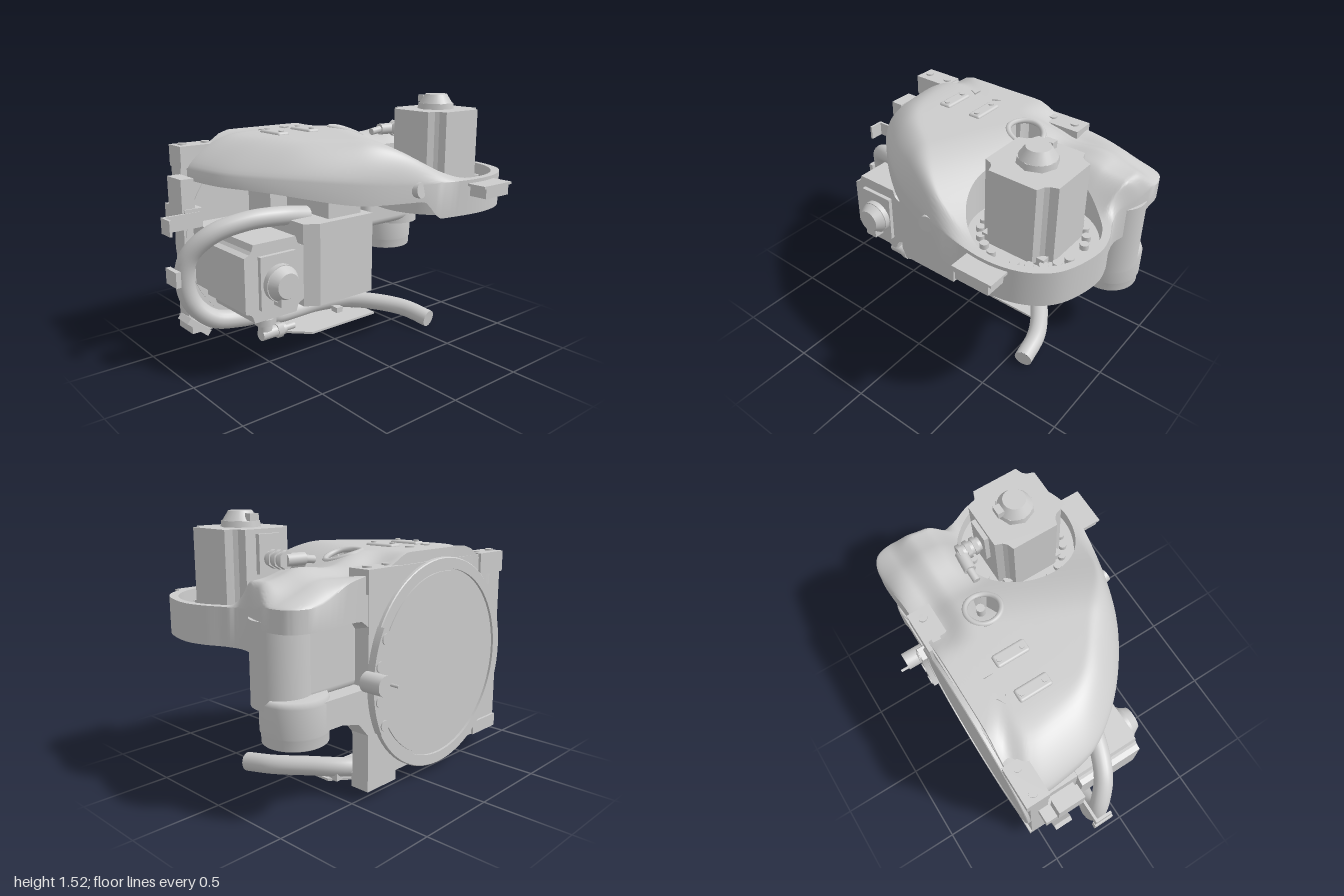
import * as THREE from 'three';
import { toCreasedNormals } from 'three/addons/utils/BufferGeometryUtils.js';
import { RoundedBoxGeometry } from 'three/addons/geometries/RoundedBoxGeometry.js';

const grey = new THREE.MeshStandardMaterial({ color: 0xcccccc });
const step = THREE.MathUtils.smoothstep;
const V = (x, y, z) => new THREE.Vector3(x, y, z);
const CX = 0.61, CZ = 0.23;          // centre of the motor cup
const PX = -0.17, PY = 0.66;         // centre of the rear flange
const HX = 0.25, HZ = -0.2;          // centre of the viewing port

export function createModel() {
  const root = new THREE.Group();
  const add = (name, geo, x = 0, y = 0, z = 0) => {
    const m = new THREE.Mesh(geo, grey);
    m.name = name;
    m.position.set(x, y, z);
    root.add(m);
    return m;
  };
  // box from its limits
  const box = (name, x0, x1, y0, y1, z0, z1) =>
    add(name, new THREE.BoxGeometry(x1 - x0, y1 - y0, z1 - z0), (x0 + x1) / 2, (y0 + y1) / 2, (z0 + z1) / 2);
  // cylinder or cone between two points
  const rod = (name, a, b, r0, r1 = r0, n = 32) => {
    const d = b.clone().sub(a);
    const m = add(name, new THREE.CylinderGeometry(r1, r0, d.length(), n), ...a.clone().add(b).multiplyScalar(0.5));
    m.quaternion.setFromUnitVectors(V(0, 1, 0), d.normalize());
    return m;
  };
  const extrude = (pts, depth) => new THREE.ExtrudeGeometry(
    new THREE.Shape(pts.map(p => new THREE.Vector2(...p))), { depth, bevelEnabled: false });
  // square section with stepped corners
  const notched = (a, c) => {
    const quarter = [[a, a - c], [a - c * 0.55, a - c * 0.8], [a - c * 0.8, a - c * 0.55], [a - c, a]];
    return [0, 1, 2, 3].flatMap(k => quarter.map(([x, y]) =>
      [[x, y], [-y, x], [-x, -y], [y, -x]][k]));
  };

  add('castHousing', housingGeometry());

  // Main motor standing in the cup
  add('mainMotor', extrude(notched(0.213, 0.075), 0.435).rotateX(-Math.PI / 2), CX, 1.0, CZ);
  box('motorBase', 0.42, 0.8, 0.98, 1.03, 0.04, 0.42);
  add('motorCapBase', new THREE.CylinderGeometry(0.105, 0.11, 0.035, 8), CX, 1.452, CZ);
  add('motorCap', new THREE.CylinderGeometry(0.065, 0.1, 0.055, 24), CX, 1.495, CZ);
  box('capTab', 0.58, 0.64, 1.47, 1.51, 0.11, 0.15);
  for (let i = 0; i < 24; i++) {
    const a = i / 24 * Math.PI * 2;
    if (i % 6) add('cupBolt', new THREE.CylinderGeometry(0.024, 0.024, 0.04, 12),
      CX + 0.275 * Math.cos(a), 0.995, CZ + 0.275 * Math.sin(a));
  }
  // Cable gland on the back of the main motor
  box('motorSocket', 0.54, 0.68, 1.2, 1.41, -0.01, 0.03);
  rod('glandBody', V(CX, 1.28, 0), V(CX, 1.28, -0.13), 0.04);
  for (const z of [-0.03, -0.075, -0.12]) rod('glandNut', V(CX, 1.28, z), V(CX, 1.28, z - 0.025), 0.052, 0.052, 6);
  rod('glandElbow', V(CX, 1.28, -0.13), V(0.49, 1.28, -0.14), 0.035);
  rod('glandTip', V(0.5, 1.28, -0.14), V(0.42, 1.27, -0.14), 0.022);

  // Mounting bracket at the front of the cup
  box('frontBracketTop', 0.48, 0.72, 1.03, 1.045, 0.6, 0.74);
  box('frontBracketFace', 0.5, 0.7, 0.97, 1.04, 0.6, 0.735);

  // Side pod with its pocket open to the rear
  rod('podColumn', V(0.81, 0.6, -0.315), V(0.81, 1.04, -0.315), 0.157);
  add('podWeb', new RoundedBoxGeometry(0.42, 0.42, 0.3, 3, 0.05), 0.61, 0.83, -0.31);
  add('podLower', new THREE.LatheGeometry([[0, 0.415], [0.165, 0.415], [0.17, 0.42], [0.17, 0.47], [0.178, 0.48],
    [0.178, 0.63], [0.165, 0.66], [0, 0.66]].map(p => new THREE.Vector2(...p)), 40), 0.785, 0, -0.38);
  add('podGusset', extrude([[0.4, 0.3], [0.43, 0.38], [0.5, 0.46], [0.62, 0.49], [0.8, 0.49], [0.8, 0.64], [0.4, 0.64]], 0.12), 0, 0, -0.55);

  // Rear flange: plate, round face and corner ears
  add('flangePlate', extrude([[-0.78, 0.12], [0.43, 0.12], [0.43, 1.2], [0.4, 1.25], [-0.78, 1.25]], 0.11), 0, 0, -0.55);
  rod('flangeDisc', V(PX, PY, -0.435), V(PX, PY, -0.558), 0.6, 0.6, 80);
  const rim = [[0.54, 0.02], [0.54, 0], [0.6, 0], [0.605, 0.005], [0.605, 0.03], [0.54, 0.03], [0.54, 0.02]];
  add('flangeRim', toCreasedNormals(new THREE.LatheGeometry(rim.map(p => new THREE.Vector2(...p)), 80), 0.5)
    .rotateX(Math.PI / 2), PX, PY, -0.573);
  rod('flangeFace', V(PX, PY, -0.55), V(PX, PY, -0.567), 0.527, 0.527, 80);
  for (const [x0, x1, hx] of [[-0.78, -0.54, [-0.73, -0.58]], [0.2, 0.45, [0.24, 0.39]]]) {
    box('upperEar', x0, x1, 1.13, 1.255, -0.568, -0.43);
    for (const x of hx) rod('earBolt', V(x, 1.25, -0.5), V(x, 1.265, -0.5), 0.025, 0.025, 16);
  }
  box('lowerEar', -0.78, -0.54, 0.12, 0.2, -0.565, -0.4);
  box('lowerEar', 0.2, 0.43, 0.06, 0.14, -0.55, -0.43);
  for (const [x, y] of [[0.17, 1], [0.23, 0.83], [0.25, 0.7], [0.24, 0.58], [0.2, 0.42], [0.05, 0.31], [-0.02, 0.28], [-0.32, 0.28], [-0.42, 0.33], [-0.47, 1]])
    rod('flangeBolt', V(x, y, -0.45), V(x, y, -0.42), 0.024, 0.024, 12);
  box('flangeRib', 0.09, 0.2, 0.62, 0.98, -0.44, -0.4);

  // Curved strip and plug on the back of the flange
  const arc = new THREE.Shape();
  arc.absarc(0, 0, 0.62, -0.46, 0.5, false);
  arc.absarc(0, 0, 0.545, 0.5, -0.46, true);
  add('rearStrip', new THREE.ExtrudeGeometry(arc, { depth: 0.045, bevelEnabled: false, curveSegments: 24 }), PX, PY, -0.605);
  for (const a of [-0.4, -0.15, 0.17, 0.42]) {
    const x = PX + 0.58 * Math.cos(a), y = PY + 0.58 * Math.sin(a);
    rod('stripBolt', V(x, y, -0.6), V(x, y, -0.612), 0.03, 0.03, 16);
  }
  rod('rearPlug', V(0.455, 0.685, -0.56), V(0.455, 0.685, -0.69), 0.055);
  rod('plugPin', V(0.415, 0.685, -0.69), V(0.415, 0.685, -0.74), 0.009, 0.009, 8);

  // Gearbox block and its carrier
  add('gearboxBlock', extrude([[-0.39, -0.2], [0.08, -0.2], [0.08, 0.25], [-0.31, 0.25], [-0.39, 0.2]]
    .map(([x, z]) => [x, -z]).reverse(), 0.48).rotateX(-Math.PI / 2), 0, 0.385, 0);
  box('blockNeck', -0.21, 0.03, 0.86, 1.02, -0.2, 0.2);
  box('blockCarrier', -0.33, 0.05, 0.4, 0.98, -0.44, -0.2);
  box('blockFoot', -0.34, 0.09, 0.375, 0.39, -0.43, 0.2);
  for (let i = 0; i < 5; i++) rod('footBolt', V(-0.3 + i * 0.075, 0.35, -0.25), V(-0.3 + i * 0.075, 0.38, -0.25), 0.013, 0.013, 10);

  // Side motor lying on its back, with round connector
  add('sideMotor', extrude(notched(0.205, 0.06), 0.4).scale(0.95, 1.07, 1), -0.58, 0.59, -0.2);
  box('sideMotorFront', -0.69, -0.46, 0.44, 0.74, 0.19, 0.225);
  box('sideMotorRear', -0.72, -0.4, 0.42, 0.8, -0.44, -0.2);
  rod('connectorBase', V(-0.57, 0.58, 0.22), V(-0.57, 0.58, 0.26), 0.105);
  rod('connectorCap', V(-0.57, 0.58, 0.26), V(-0.57, 0.58, 0.312), 0.1, 0.07);
  box('connectorLatch', -0.61, -0.53, 0.46, 0.55, 0.22, 0.295);
  rod('sideGland', V(-0.57, 0.38, 0.07), V(-0.57, 0.25, 0.07), 0.05, 0.04);
  rod('sideGlandNut', V(-0.57, 0.33, 0.07), V(-0.57, 0.29, 0.07), 0.065, 0.065, 6);
  rod('sideGlandElbow', V(-0.6, 0.225, 0.07), V(-0.44, 0.225, 0.07), 0.035);
  rod('sideGlandNut', V(-0.5, 0.225, 0.07), V(-0.46, 0.225, 0.07), 0.045, 0.045, 6);
  rod('sideGlandTip', V(-0.44, 0.225, 0.07), V(-0.37, 0.225, 0.07), 0.02);

  // Hose looping round the side motor and out to the front
  const hose = new THREE.CatmullRomCurve3([
    [-0.24, 0.86, 0.03], [-0.42, 0.885, 0.03], [-0.62, 0.88, -0.01], [-0.8, 0.82, -0.08], [-0.9, 0.7, -0.16], [-0.92, 0.57, -0.19],
    [-0.88, 0.41, -0.19], [-0.77, 0.3, -0.16], [-0.6, 0.26, -0.15], [-0.42, 0.22, -0.2], [-0.24, 0.13, -0.31],
    [-0.05, 0.09, -0.38], [0.15, 0.09, -0.38], [0.33, 0.1, -0.3], [0.47, 0.1, -0.13], [0.57, 0.085, 0.05], [0.605, 0.058, 0.24],
  ].map(p => V(...p)));
  add('hose', new THREE.TubeGeometry(hose, 120, 0.055, 20));
  for (const t of [0, 1]) {
    const p = hose.getPoint(t), d = hose.getTangent(t).multiplyScalar(t ? 1 : -1);
    add('hoseEnd', new THREE.CircleGeometry(0.055, 20), p.x, p.y, p.z).quaternion.setFromUnitVectors(V(0, 0, 1), d);
  }

  // Lower hose support
  add('supportTray', extrude([[-0.25, 0.43], [-0.25, 0.25], [-0.1, 0.1], [0.43, 0.1], [0.43, 0.25], [0.2, 0.43]], 0.014)
    .rotateX(-Math.PI / 2), 0, 0.03, 0);
  add('supportBack', extrude([[-0.25, 0.03], [0.2, 0.03], [0.2, 0.1], [0, 0.29], [-0.25, 0.29]], 0.015), 0, 0, -0.43);
  for (const x of [-0.22, -0.13]) for (const y of [0.17, 0.26])
    rod('supportBolt', V(x, y, -0.42), V(x, y, -0.395), 0.014, 0.014, 10);
  for (const x of [0.22, 0.36]) box('hoseClip', x, x + 0.05, 0.035, 0.08, -0.3, -0.24);
  box('hoseHanger', -0.2, -0.12, 0.3, 0.38, -0.32, -0.26);

  // Brackets on the side with the hose
  box('sideArmFront', -1, -0.77, 0.82, 0.91, -0.27, -0.255);
  box('sideArmEnd', -1, -0.985, 0.82, 0.91, -0.27, -0.17);
  box('sideArmRear', -0.87, -0.79, 0.9, 1.1, -0.43, -0.27);
  box('sideArmStem', -0.86, -0.75, 0.82, 0.93, -0.5, -0.26);
  box('hoseGuide', -1, -0.97, 0.54, 0.63, -0.25, -0.13);
  const strap = box('lowerStrap', -0.87, -0.7, 0.18, 0.22, -0.42, -0.3);
  strap.rotation.z = -0.7;

  // Pads, arrows, plug and viewing port on top of the housing
  for (const x of [-0.28, -0.06]) {
    add('topPad', new RoundedBoxGeometry(0.08, 0.035, 0.2, 2, 0.015), x, 1.31, -0.215);
    for (const z of [-0.285, -0.145]) add('padBolt', new THREE.CylinderGeometry(0.016, 0.016, 0.02, 12), x, 1.325, z);
  }
  for (const [x, s] of [[-0.25, -1], [-0.09, 1]])
    add('topArrow', new THREE.CylinderGeometry(0.032, 0.032, 0.02, 3).rotateY(s * Math.PI / 2), x, 1.311, -0.38);
  const rimPath = new THREE.CatmullRomCurve3(Array.from({ length: 24 }, (_, i) => {
    const x = HX + 0.1 * Math.cos(i * Math.PI / 12), z = HZ + 0.1 * Math.sin(i * Math.PI / 12);
    return V(x, topHeight(x, z) - 0.006, z);
  }), true);
  add('portRim', new THREE.TubeGeometry(rimPath, 60, 0.016, 8, true));
  rod('portBolt', V(HX + 0.04, 1.12, HZ), V(HX + 0.04, 1.22, HZ), 0.025);
  rod('housingPlug', V(0.14, 1.03, 0.46), V(0.16, 1.04, 0.56), 0.045);
  return root;
}

// Height of the upper skin away from its rounded border
function topHeight(x, z) {
  return 1.065 + 0.248 * step(0.7 - x - 0.45 * z, -0.1, 0.65)
    - 0.07 * step(x, 0.1, 0.3) * step(-z, 0.3, 0.45) - 0.03 * step(-x, 0.35, 0.7)
    + 0.15 * step(x, 0.4, 0.75) * step(-z, 0, 0.22);
}

// Cast housing: rays from the cup centre to the outline, each with its own profile
function housingGeometry() {
  const outline = new THREE.CatmullRomCurve3([
    [1.0, 0.23], [0.93, 0.47], [0.8, 0.58], [0.61, 0.625], [0.35, 0.595], [0.1, 0.53], [-0.15, 0.43], [-0.4, 0.26], [-0.58, 0.08],
    [-0.69, -0.1], [-0.73, -0.3], [-0.735, -0.48], [-0.7, -0.54], [-0.3, -0.54], [0.1, -0.54], [0.5, -0.55], [0.85, -0.565],
    [0.94, -0.52], [0.97, -0.42], [0.95, -0.3], [0.905, -0.14], [0.925, -0.03], [0.98, 0.1],
  ].map(([x, z]) => V(x, 0, z)), true);
  const n = 180, rings = 30, rows = [];
  for (let i = 0; i < n; i++) {
    const o = outline.getPoint(i / n), dx = o.x - CX, dz = o.z - CZ, R = Math.hypot(dx, dz);
    const at = (r, y) => [CX + dx / R * r, y, CZ + dz / R * r];
    const pod = step(o.x, 0.3, 0.5) * step(-o.z, 0.2, 0.4);
    const back = step(-o.z, 0.48, 0.54) * step(o.x, -0.75, -0.4) * (1 - step(o.x, 0.4, 0.85));
    const low = 0.86 + (0.11 + 0.09 * step(-o.x, 0.1, 0.7)) * (1 - step(o.x, 0.18, 0.3)) + 0.14 * pod;
    let edge = 1.065 + 0.06 * step(-o.x, -0.2, 0.7) + 0.05 * pod;
    edge += (topHeight(o.x, o.z) - edge) * back;
    const width = 0.08 + 0.24 * step(-o.x, -0.2, 0.5) + 0.1 * pod;
    const cup = Math.min(0.39, R - 0.002);
    const row = [at(0, 0.86), at(cup, 0.86), at(cup + 0.001, Math.max(0.86, low)), at(R, low), at(R, edge)];
    for (let k = 1; k <= rings; k++) {
      const r = R + (0.35 - R) * Math.pow(k / rings, 1.3), p = at(r, 0);
      const round = Math.pow(Math.sin(Math.min(1, (R - r) / width) * Math.PI / 2), 0.75);
      p[1] = edge + (topHeight(p[0], p[2]) - edge) * round;
      if (Math.hypot(p[0] - HX, p[2] - HZ) < 0.095) p[1] -= 0.14;
      row.push(p);
    }
    row.push(at(0.345, 0.985), at(0, 0.985));
    rows.push(row);
  }
  const m = rows[0].length, index = [];
  for (let i = 0; i < n; i++) for (let j = 0; j < m - 1; j++) {
    const a = i * m + j, c = ((i + 1) % n) * m + j;
    index.push(a, a + 1, c, c, a + 1, c + 1);
  }
  const g = new THREE.BufferGeometry();
  g.setAttribute('position', new THREE.Float32BufferAttribute(rows.flat(2), 3));
  g.setIndex(index);
  return toCreasedNormals(g, 0.6);
}
